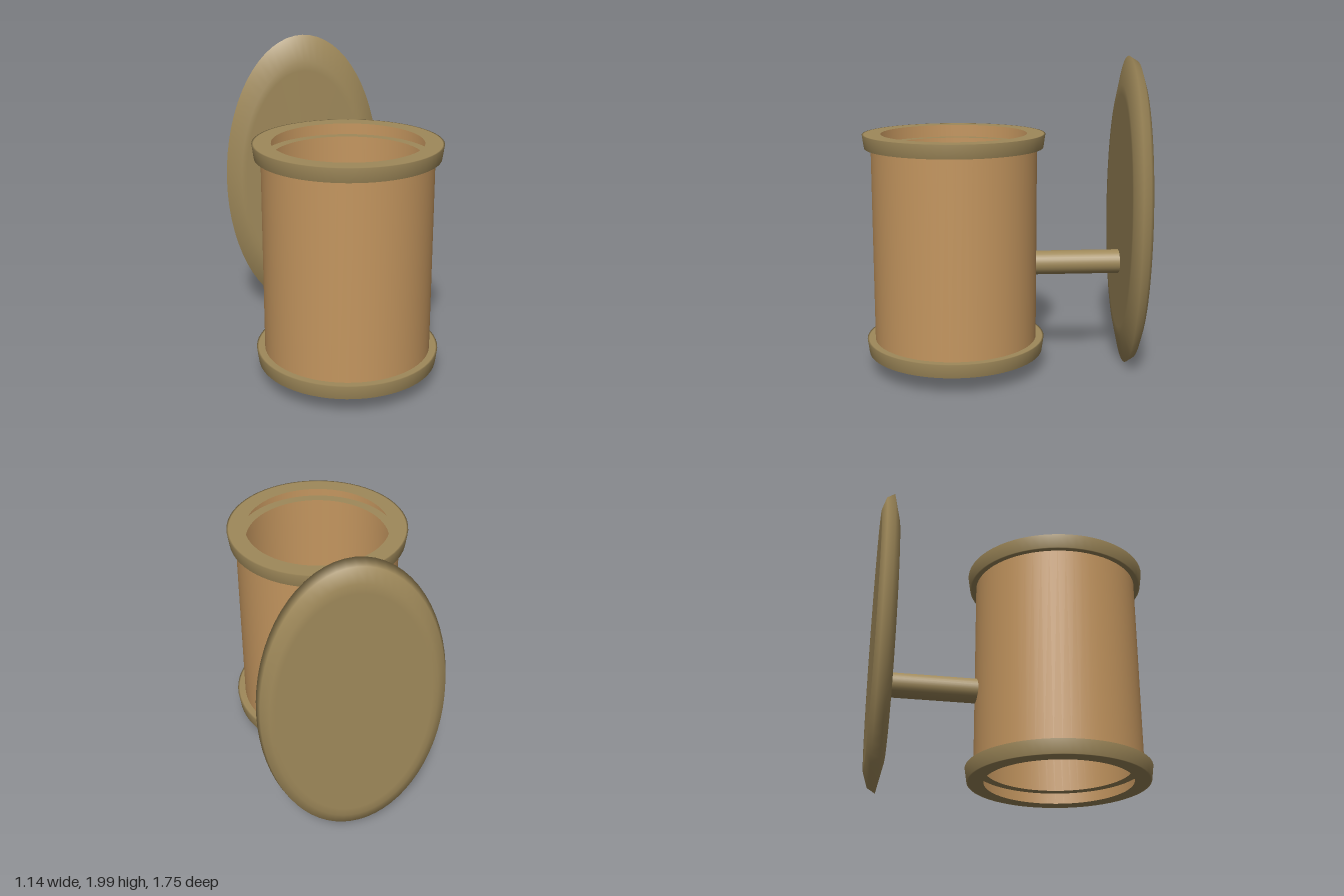
import * as THREE from 'three';

const brass = new THREE.MeshStandardMaterial({ color: 0x9f895a, side: THREE.DoubleSide });
const amber = new THREE.MeshStandardMaterial({ color: 0xc4965f, side: THREE.DoubleSide });

const SHADE_Z = 0.297;
const ROD_Y = 0.68;

function lathe(points, segments = 64) {
  return new THREE.LatheGeometry(points.map(([r, y]) => new THREE.Vector2(r, y)), segments);
}

export function createModel() {
  const group = new THREE.Group();
  const add = (name, geometry, material, x, y, z) => {
    const mesh = new THREE.Mesh(geometry, material);
    mesh.name = name;
    mesh.position.set(x, y, z);
    group.add(mesh);
    return mesh;
  };

  // Open-ended cylindrical shade
  add('shade', new THREE.CylinderGeometry(0.52, 0.52, 1.4, 64, 1, true), amber, 0, 0.822, SHADE_Z);

  // Flared channel rims, open on the inside, at both ends of the shade
  const rim = lathe([
    [0.457, 0], [0.55, 0], [0.56, 0], [0.572, 0.086], [0.56, 0.086], [0.457, 0.086],
  ]);
  add('bottomRim', rim, brass, 0, 0.119, SHADE_Z);
  add('topRim', rim, brass, 0, 1.439, SHADE_Z);

  // Bulb inside the shade, in line with the rod
  add('bulb', new THREE.SphereGeometry(0.194, 40, 24), brass, 0, ROD_Y, SHADE_Z);

  // Horizontal rod from the plate into the shade
  const rod = new THREE.CylinderGeometry(0.077, 0.077, 0.79, 32);
  rod.rotateX(Math.PI / 2);
  add('rod', rod, brass, 0, ROD_Y, -0.395);

  // Oval wall plate with a bevelled edge, axis turned to face the wall
  const plate = lathe([
    [0, 0], [0.76, 0], [0.82, 0], [1, 0.04], [0.97, 0.088], [0.88, 0.116], [0.82, 0.116], [0, 0.116],
  ]);
  plate.rotateX(-Math.PI / 2);
  plate.scale(0.553, 0.997, 1);
  add('wallPlate', plate, brass, 0, 1.003, -0.76);

  return group;
}
